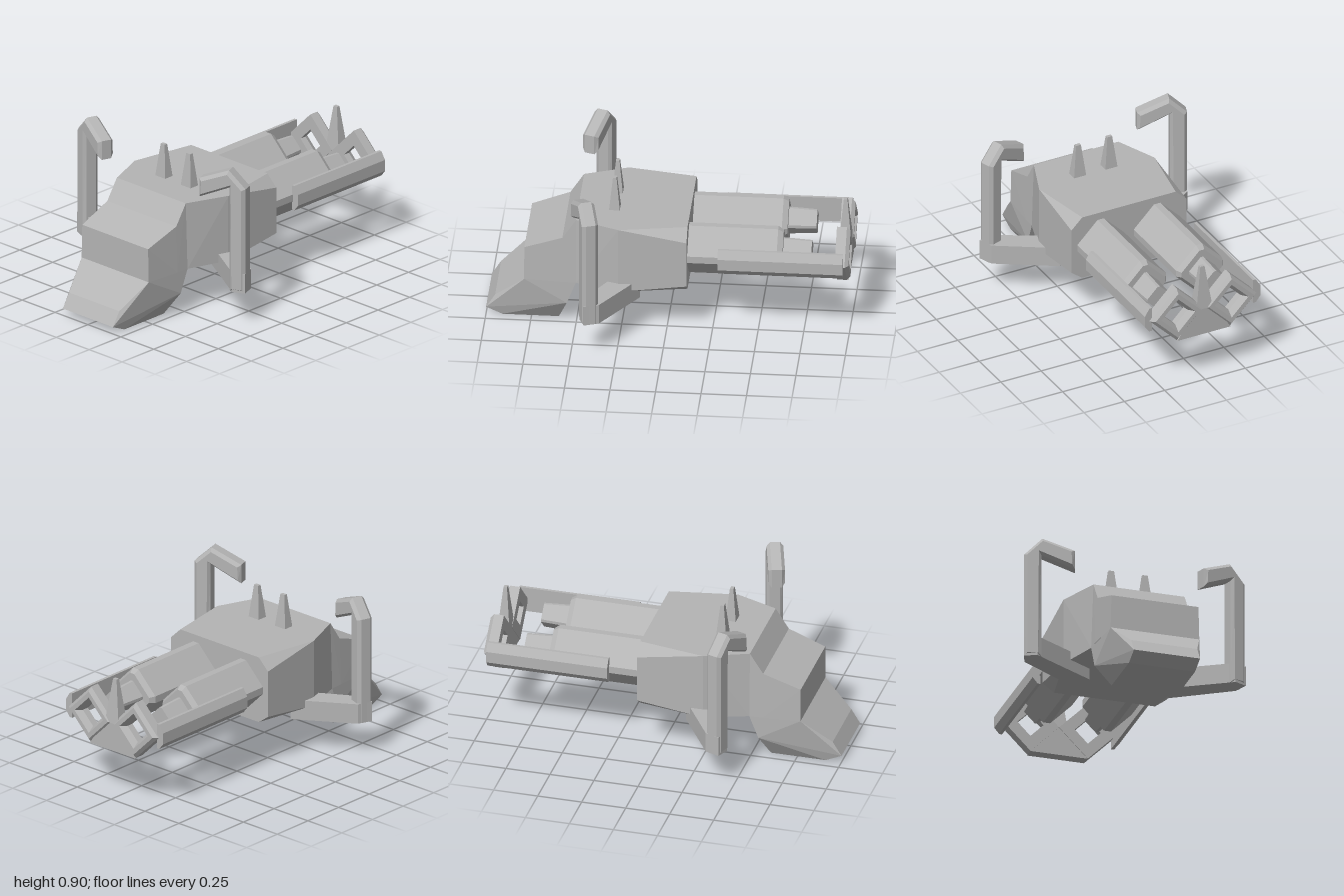
import * as THREE from 'three';
import { ConvexGeometry } from 'three/addons/geometries/ConvexGeometry.js';

export function createModel() {
  const model = new THREE.Group();
  model.name = 'heavyBlaster';
  const grey = new THREE.MeshStandardMaterial({ color: 0xb4b4b4, flatShading: true });
  grey.name = 'grey';

  const add = (name, geometry) => {
    const mesh = new THREE.Mesh(geometry, grey);
    mesh.name = name;
    model.add(mesh);
    return mesh;
  };
  // Faceted solid around a set of corner points
  const hull = (name, pts) => add(name, new ConvexGeometry(pts.map((p) => new THREE.Vector3(...p))));
  // Corner points repeated on both sides of the centre plane
  const both = (pts) => pts.flatMap(([x, y, z]) => [[x, y, z], [x, y, -z]]);
  // Diamond cross-section with clipped corners
  const diamond = (x, y, z, r, flat) =>
    [[r, flat], [flat, r]].flatMap(([a, b]) =>
      [[1, 1], [1, -1], [-1, 1], [-1, -1]].map(([i, j]) => [x, y + a * i, z + b * j]));
  // Tapered spike standing on its base
  const spike = (name, x, y0, y1, z, bx, bz, tx, tz) =>
    hull(name, both([[bx, y0, bz], [-bx, y0, bz], [tx, y1, tz], [-tx, y1, tz]])
      .map((p) => [p[0] + x, p[1], p[2] + z]));

  // Body: wide housing with bevelled front edges, stepping down at the rear
  const bevelled = (x) => [[x, 0.645, 0.29], [x, 0.58, 0.357], [x, 0.31, 0.357], [x, 0.26, 0.29]];
  hull('housing', both([
    [-0.5, 0.645, 0.262], [-0.5, 0.26, 0.275],
    [-0.26, 0.645, 0.357], [-0.26, 0.26, 0.357],
    ...bevelled(-0.2), ...bevelled(0.115),
  ]));
  hull('rearStep', both([
    [-0.575, 0.53, 0.262], [-0.575, 0.26, 0.272], [-0.5, 0.645, 0.262], [-0.5, 0.26, 0.275],
  ]));
  hull('rearBlock', both([
    [-0.785, 0.455, 0.25], [-0.785, 0.26, 0.255], [-0.575, 0.53, 0.262], [-0.575, 0.26, 0.272],
  ]));
  hull('stock', both([
    [-0.785, 0.26, 0.255], [-0.5, 0.26, 0.275], [-0.55, 0.13, 0.272], [-0.6, 0, 0.19],
    [-0.91, 0, 0.19], [-1, 0.04, 0.19], [-0.95, 0.12, 0.19],
  ]));

  // Upright hooked handle outline, measured inward from its outer edge
  const hook = new THREE.Shape([
    [0, 0.195], [0, 0.81], [0.1, 0.905], [0.278, 0.83], [0.278, 0.72], [0.095, 0.805], [0.095, 0.195],
  ].map((p) => new THREE.Vector2(...p)));
  const bevel = 0.018, hookWidth = 0.092;

  // Bevelled diamond ring profile (radius, distance along the barrel)
  const ringProfile = [
    [0.165, 0.925], [0.165, 0.98], [0.14, 1], [0.105, 1], [0.075, 0.965], [0.075, 0.925], [0.165, 0.925],
  ].map((p) => new THREE.Vector2(...p));

  for (const s of [1, -1]) {
    const side = s > 0 ? 'left' : 'right';

    // Barrel, muzzle and end ring
    const bz = 0.175 * s;
    hull(side + 'Barrel', [
      ...diamond(0.1, 0.457, bz, 0.145, 0.02),
      ...diamond(0.605, 0.457, bz, 0.145, 0.02),
      ...diamond(0.635, 0.457, bz, 0.125, 0.015),
    ]);
    hull(side + 'Muzzle', [
      ...diamond(0.63, 0.459, bz, 0.08, 0.008), ...diamond(0.79, 0.459, bz, 0.07, 0.008),
    ]);
    const ring = new THREE.LatheGeometry(ringProfile, 4);
    ring.rotateZ(-Math.PI / 2);
    add(side + 'MuzzleRing', ring).position.set(0, 0.452, 0.165 * s);

    // Side rail holding the ring
    hull(side + 'Rail', [0.285, 0.972].flatMap((x) => [
      [x, 0.385, 0.313 * s], [x, 0.53, 0.313 * s], [x, 0.385, 0.33 * s],
      [x, 0.53, 0.33 * s], [x, 0.42, 0.358 * s], [x, 0.485, 0.358 * s],
    ]));

    // Handle with the slanted arm that carries it
    const handle = new THREE.ExtrudeGeometry(hook, {
      depth: hookWidth - 2 * bevel, bevelEnabled: true, bevelSegments: 1,
      bevelSize: bevel, bevelThickness: bevel, bevelOffset: -bevel,
    });
    handle.translate(0, 0, bevel - hookWidth / 2);
    handle.rotateY(1.904 * s);
    add(side + 'Handle', handle).position.set(-0.388, 0, 0.624 * s);
    hull(side + 'HandleArm', [0.195, 0.31].flatMap((y) => [
      [-0.145, y, 0.29 * s], [-0.24, y, 0.2 * s], [-0.345, y, 0.607 * s],
      [-0.425, y, 0.638 * s], [-0.455, y, 0.57 * s],
    ]));

    // Spike on top of the housing
    spike(side + 'TopSpike', -0.3, 0.64, 0.835, 0.097 * s, 0.03, 0.038, 0.01, 0.015);
  }

  // Front sight and the wedge joining the two rings
  spike('frontSight', 0.96, 0.45, 0.706, 0, 0.035, 0.05, 0.01, 0.013);
  hull('ringWedge', both([0.928, 0.99].flatMap((x) => [
    [x, 0.46, 0.05], [x, 0.287, 0.165], [x, 0.45, 0.05],
  ])));

  return model;
}
